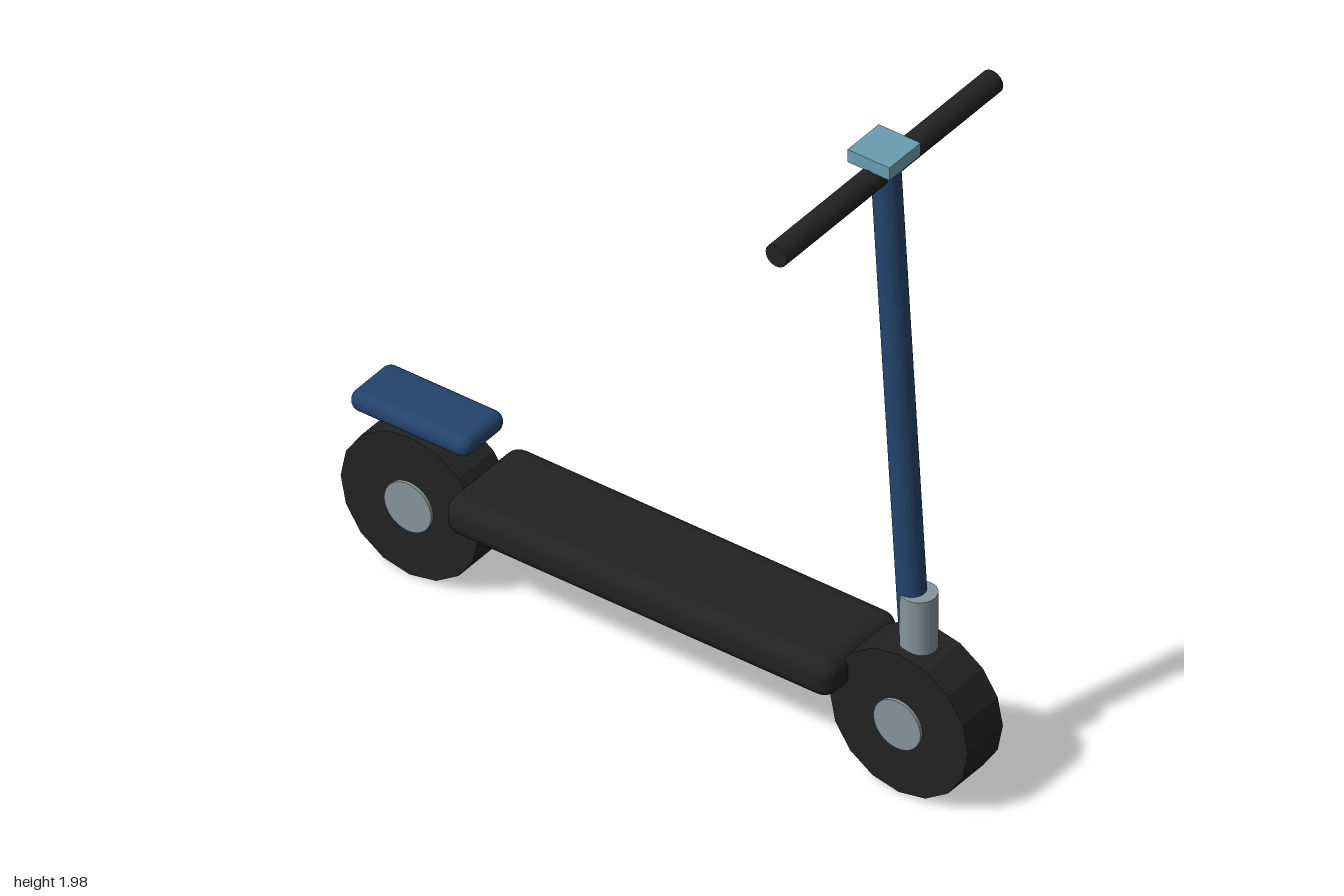
import * as THREE from 'three';
import { RoundedBoxGeometry } from 'three/addons/geometries/RoundedBoxGeometry.js';

const material = (name, color) => {
  const m = new THREE.MeshStandardMaterial({ color });
  m.name = name;
  return m;
};

export function createModel() {
  const scooter = new THREE.Group();
  scooter.name = 'scooter';
  const black = material('black', 0x222222);
  const blue = material('blue', 0x24446c);
  const metal = material('metal', 0x87949b);
  const teal = material('teal', 0x6a9eae);

  const add = (name, geometry, mat, x, y, z, parent = scooter) => {
    const mesh = new THREE.Mesh(geometry, mat);
    mesh.name = name;
    mesh.position.set(x, y, z);
    parent.add(mesh);
    return mesh;
  };
  // Cylinder lying along x
  const axle = (r, width, sides) =>
    new THREE.CylinderGeometry(r, r, width, sides).rotateZ(Math.PI / 2);

  // Wheels: faceted tyre with a hub standing slightly proud on both sides
  const tyre = axle(0.22, 0.15, 16).toNonIndexed();
  tyre.computeVertexNormals();
  const hub = axle(0.075, 0.168, 32);
  for (const [name, z] of [['frontWheel', 0.78], ['rearWheel', -0.78]]) {
    const wheel = new THREE.Group();
    wheel.name = name;
    wheel.position.set(0, 0.22, z);
    add('tyre', tyre, black, 0, 0, 0, wheel);
    add('hub', hub, metal, 0, 0, 0, wheel);
    scooter.add(wheel);
  }

  // Deck and rear fender
  add('deck', new RoundedBoxGeometry(0.32, 0.115, 1.235, 3, 0.045), black, 0, 0.31, 0);
  add('rearFender', new RoundedBoxGeometry(0.18, 0.064, 0.38, 3, 0.03), blue, 0, 0.479, -0.78);

  // Steering column: upright neck and a stem leaning back
  add('neck', new THREE.CylinderGeometry(0.05, 0.05, 0.2, 24), metal, 0, 0.5, 0.788);
  const bottom = new THREE.Vector3(0, 0.4, 0.777);
  const top = new THREE.Vector3(0, 1.902, 0.683);
  const stem = add('stem',
    new THREE.CylinderGeometry(0.04, 0.04, bottom.distanceTo(top), 24), blue, 0, 0, 0);
  stem.position.lerpVectors(bottom, top, 0.5);
  stem.rotation.x = Math.atan2(top.z - bottom.z, top.y - bottom.y);

  // Handlebar and display
  add('handlebar', axle(0.034, 0.93, 16), black, 0, 1.904, 0.678);
  add('display', new THREE.BoxGeometry(0.134, 0.04, 0.134), teal, 0, 1.955, 0.677);

  return scooter;
}
